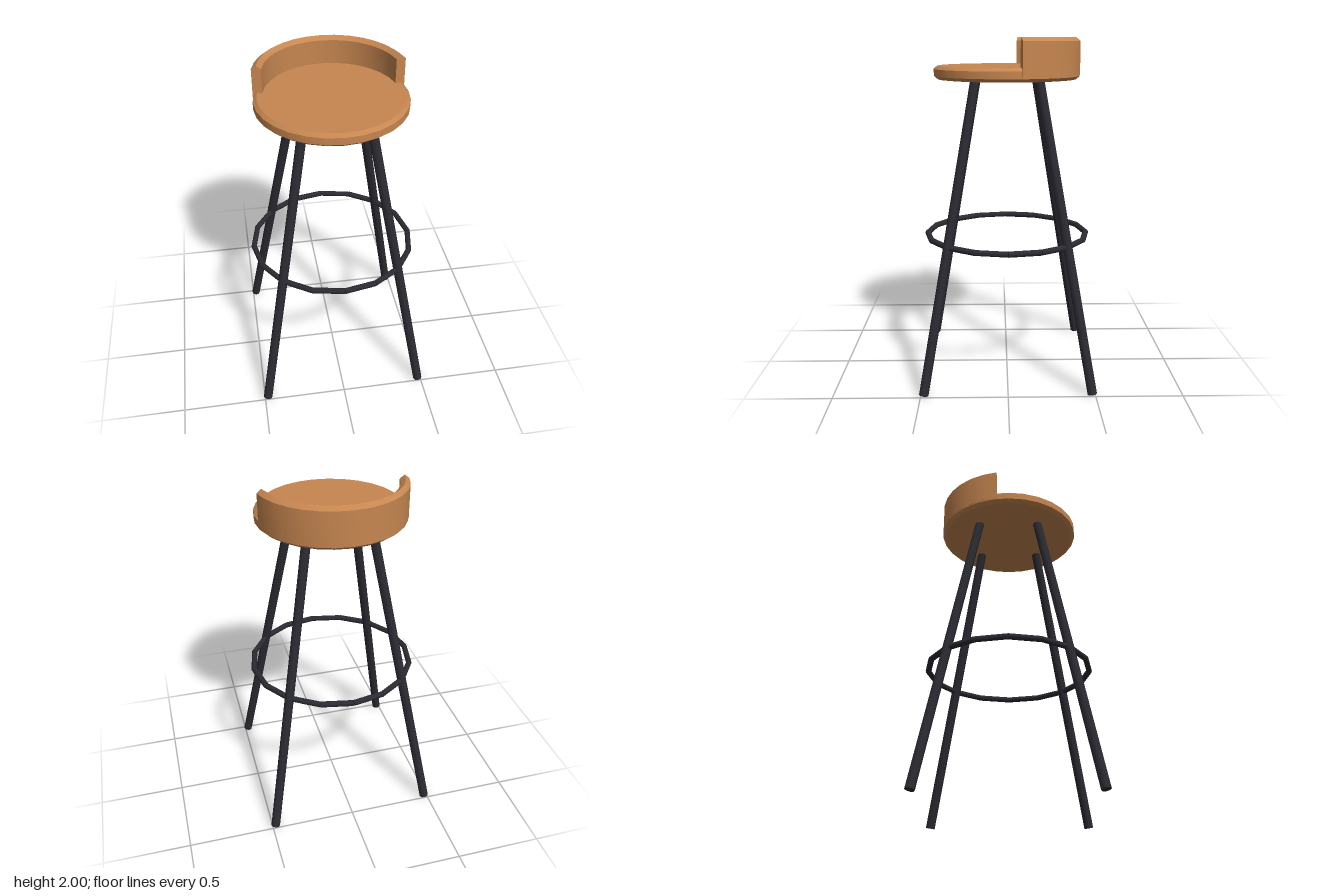
import * as THREE from 'three';
import { toCreasedNormals } from 'three/addons/utils/BufferGeometryUtils.js';

const wood = new THREE.MeshStandardMaterial({ color: 0xc68650 });
wood.name = 'warm wood';
const metal = new THREE.MeshStandardMaterial({ color: 0x2b2b33 });
metal.name = 'dark metal';

const points = (list) => list.map(([x, y]) => new THREE.Vector2(x, y));

function add(parent, name, geometry, material) {
  const mesh = new THREE.Mesh(geometry, material);
  mesh.name = name;
  parent.add(mesh);
  return mesh;
}

// Capped round bar between two points
function bar(parent, name, from, to, radius) {
  const axis = to.clone().sub(from);
  const mesh = add(parent, name, new THREE.CylinderGeometry(radius, radius, axis.length(), 8), metal);
  mesh.position.copy(from).add(to).multiplyScalar(0.5);
  mesh.quaternion.setFromUnitVectors(new THREE.Vector3(0, 1, 0), axis.normalize());
  return mesh;
}

export function createModel() {
  const stool = new THREE.Group();
  stool.name = 'barStool';

  // Round seat with bevelled rims
  const seatProfile = points([
    [0, 1.765], [0.403, 1.765], [0.424, 1.783], [0.424, 1.823], [0.403, 1.84], [0, 1.84],
  ]);
  add(stool, 'seat', toCreasedNormals(new THREE.LatheGeometry(seatProfile, 28), 0.5), wood);

  // Low curved backrest with a ridged top edge
  const backrest = new THREE.Group();
  backrest.name = 'backrest';
  stool.add(backrest);
  const start = THREE.MathUtils.degToRad(100.5);
  const section = [[0.372, 1.79], [0.425, 1.79], [0.425, 1.98], [0.399, 2], [0.372, 1.98]];
  const band = new THREE.LatheGeometry(
    points([...section, section[0]]), 14, start, 2 * (Math.PI - start));
  add(backrest, 'backrestBand', toCreasedNormals(band, 0.5), wood);

  // End faces of the backrest, mirrored
  const endFace = new THREE.ShapeGeometry(new THREE.Shape(points(section)));
  endFace.rotateY(start - Math.PI / 2);
  add(backrest, 'backrestLeftEnd', endFace, wood);
  add(backrest, 'backrestRightEnd', endFace, wood).scale.x = -1;

  // Four splayed legs
  for (const sx of [-1, 1]) {
    for (const sz of [-1, 1]) {
      const name = (sz > 0 ? 'front' : 'back') + (sx > 0 ? 'Left' : 'Right') + 'Leg';
      bar(stool, name,
        new THREE.Vector3(0.482 * sx, 0.007, 0.482 * sz),
        new THREE.Vector3(0.18 * sx, 1.767, 0.18 * sz), 0.027);
    }
  }

  // Footrest ring of sixteen straight bars
  const footrest = new THREE.Group();
  footrest.name = 'footrest';
  stool.add(footrest);
  const corner = (i) => {
    const a = (i * Math.PI) / 8;
    return new THREE.Vector3(0.479 * Math.sin(a), 0.84, 0.479 * Math.cos(a));
  };
  for (let i = 0; i < 16; i++) bar(footrest, 'footrestBar', corner(i), corner(i + 1), 0.017);

  return stool;
}
